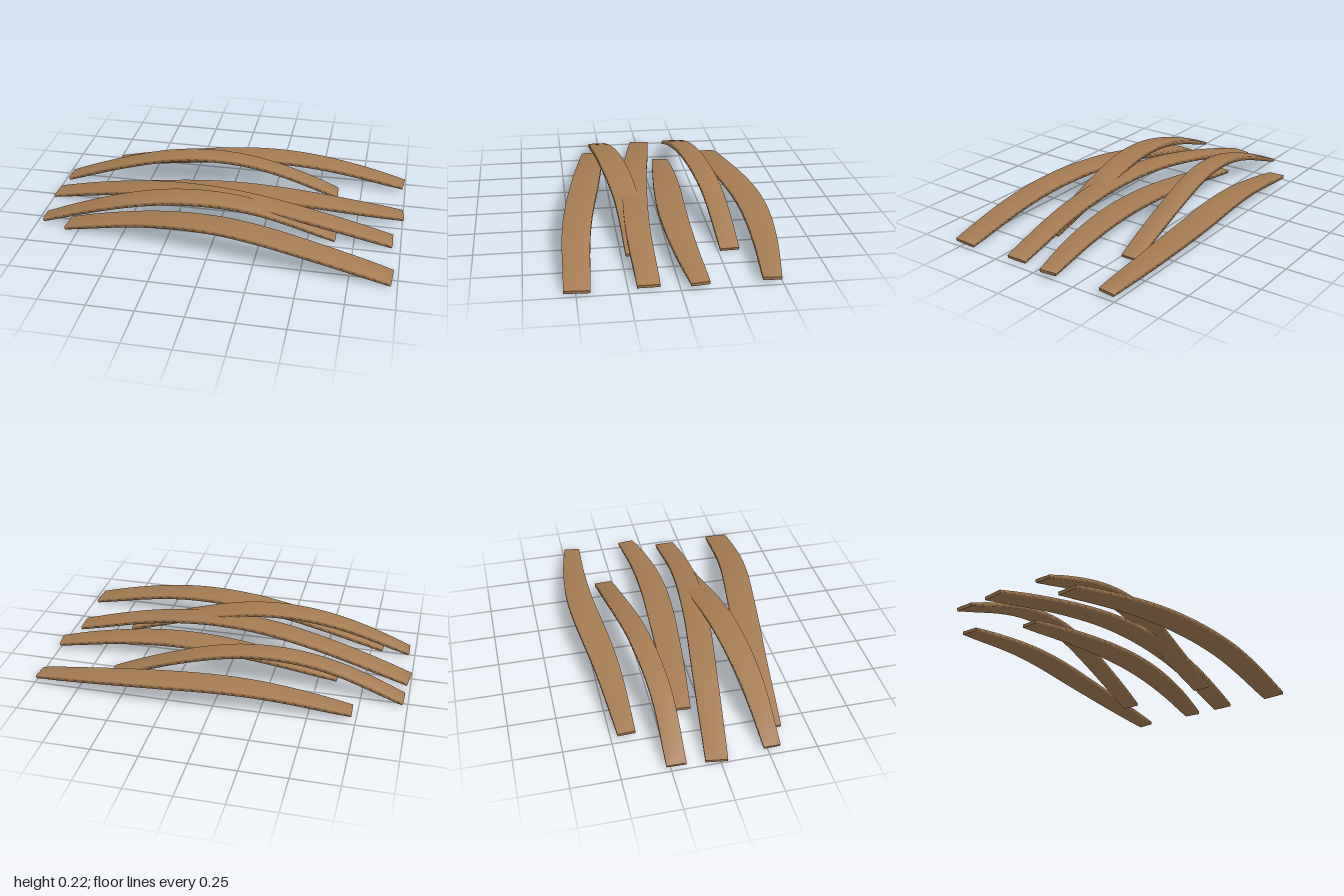
import * as THREE from 'three';

const wood = new THREE.MeshStandardMaterial({ color: 0xa67c52 });
wood.name = 'tan wood';

// Each slat: centre line as [x, z], end heights, crown height, widths at left, middle, right
const SLATS = [
  { path: [[-0.725, -0.42], [-0.3, -0.437], [0.3, -0.488], [0.65, -0.48], [0.99, -0.445]], y: [0.034, 0.034], top: 0.123, w: [0.092, 0.15, 0.092] },
  { path: [[-0.975, -0.22], [-0.6, -0.212], [-0.2, -0.245], [0.2, -0.29], [0.615, -0.31]], y: [0.013, 0.013], top: 0.213, w: [0.1, 0.115, 0.1] },
  { path: [[-0.61, -0.107], [-0.2, -0.08], [0.35, -0.05], [0.7, -0.062], [1.0, -0.095]], y: [0.034, 0.034], top: 0.114, w: [0.092, 0.15, 0.092] },
  { path: [[-0.99, -0.02], [-0.5, 0.045], [0, 0.115], [0.5, 0.155], [0.955, 0.15]], y: [0.012, 0.013], top: 0.173, w: [0.112, 0.135, 0.112] },
  { path: [[-0.965, 0.272], [-0.6, 0.266], [-0.2, 0.232], [0.25, 0.185], [0.65, 0.18]], y: [0.02, 0.03], top: 0.208, w: [0.085, 0.14, 0.1] },
  { path: [[-0.82, 0.305], [-0.4, 0.34], [0, 0.392], [0.5, 0.467], [0.97, 0.495]], y: [0.013, 0.013], top: 0.157, w: [0.115, 0.152, 0.128] },
];

const STEPS = 32;
const THICK = 0.024;

// Thin four-cornered section swept along an arched, gently bending line
function slatGeometry({ path, y, top, w }) {
  const plan = new THREE.CatmullRomCurve3(path.map(([x, z]) => new THREE.Vector3(x, 0, z)));
  const arch = (t) => {
    const p = plan.getPointAt(t);
    const base = THREE.MathUtils.lerp(y[0], y[1], t);
    p.y = base + (top - base) * Math.sin(Math.PI * t);
    return p;
  };
  const pos = [], index = [];
  for (let i = 0; i <= STEPS; i++) {
    const t = i / STEPS;
    const p = arch(t);
    const along = arch(Math.min(1, t + 0.01)).sub(arch(Math.max(0, t - 0.01))).normalize();
    const side = new THREE.Vector3(-along.z, 0, along.x).normalize();
    const up = side.clone().cross(along).normalize();
    const swell = Math.sin(Math.PI * t);
    const ends = THREE.MathUtils.lerp(w[0], w[2], t);
    const half = (ends + (w[1] - (w[0] + w[2]) / 2) * swell) / 2;
    const h = THICK / 2 * Math.min(1, 0.7 + 4 * Math.min(t, 1 - t));
    for (const [a, b] of [[-1, 1], [1, 1], [1, -1], [-1, -1]]) {
      const v = p.clone().addScaledVector(side, a * half).addScaledVector(up, b * h);
      pos.push(v.x, Math.max(0, v.y), v.z);
    }
  }
  for (let i = 0; i < STEPS; i++) {
    for (let k = 0; k < 4; k++) {
      const a = i * 4 + k, b = i * 4 + (k + 1) % 4;
      index.push(a, b, b + 4, a, b + 4, a + 4);
    }
  }
  // Separate corners keep the cut ends crisp
  const last = STEPS * 4;
  for (const [start, order] of [[0, [0, 3, 2, 0, 2, 1]], [last, [0, 1, 2, 0, 2, 3]]]) {
    const n = pos.length / 3;
    pos.push(...pos.slice(start * 3, start * 3 + 12));
    index.push(...order.map((k) => n + k));
  }
  const g = new THREE.BufferGeometry();
  g.setAttribute('position', new THREE.Float32BufferAttribute(pos, 3));
  g.setIndex(index);
  g.computeVertexNormals();
  return g;
}

export function createModel() {
  const model = new THREE.Group();
  model.name = 'curvedSlats';
  SLATS.forEach((slat, i) => {
    const mesh = new THREE.Mesh(slatGeometry(slat), wood);
    mesh.name = `slat${i + 1}`;
    model.add(mesh);
  });
  return model;
}
